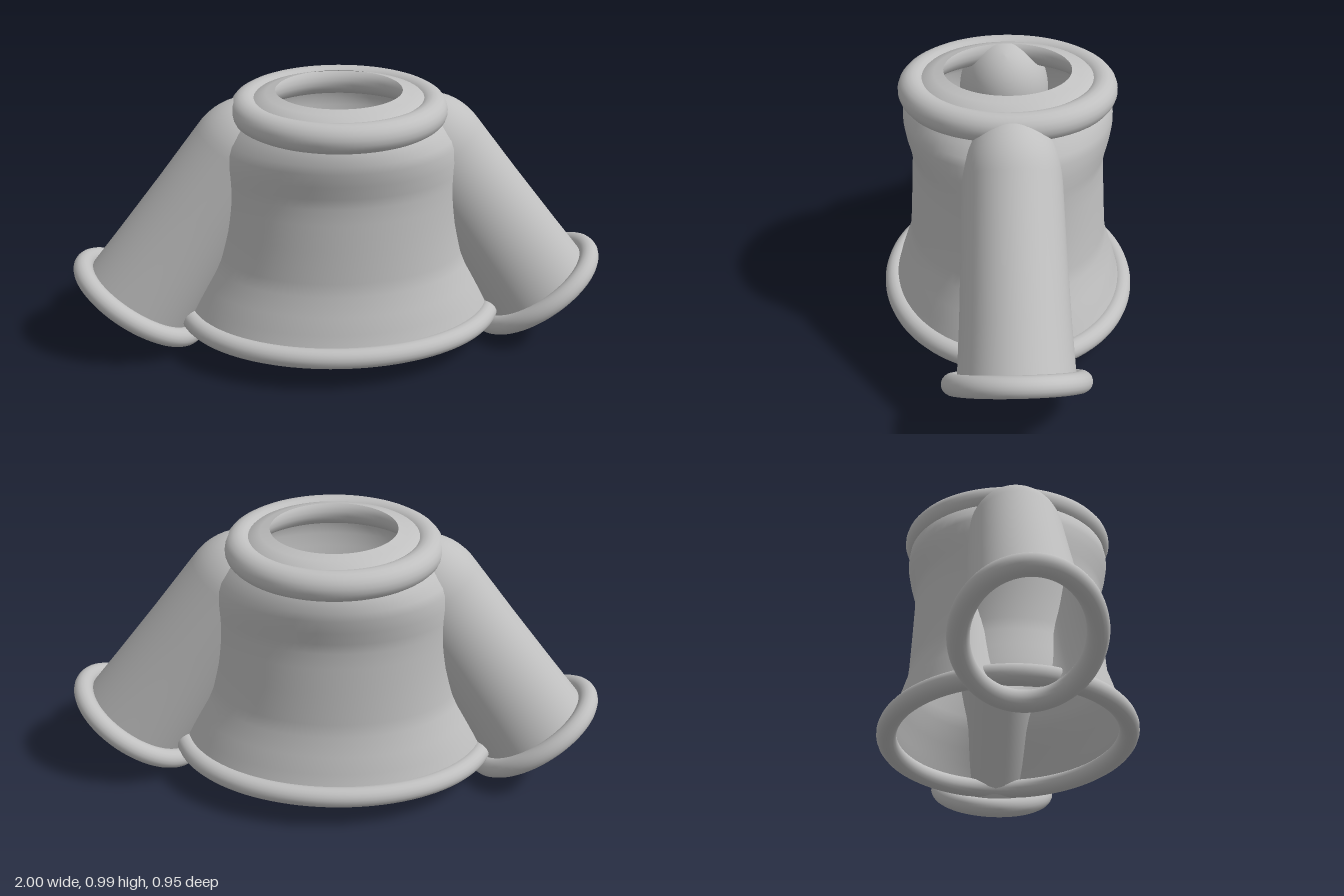
import * as THREE from 'three';

const SEGMENTS = 72;

// Smooth skin through elliptical rings, each given as [height, x radius, z radius]
function loft(rings) {
  const positions = [], index = [];
  for (const [y, rx, rz] of rings) {
    for (let j = 0; j < SEGMENTS; j++) {
      const a = (j / SEGMENTS) * Math.PI * 2;
      positions.push(rx * Math.cos(a), y, rz * Math.sin(a));
    }
  }
  for (let i = 0; i < rings.length - 1; i++) {
    for (let j = 0; j < SEGMENTS; j++) {
      const k = (j + 1) % SEGMENTS;
      const a = i * SEGMENTS + j, b = i * SEGMENTS + k;
      const c = b + SEGMENTS, d = a + SEGMENTS;
      index.push(a, d, b, b, d, c);
    }
  }
  const geometry = new THREE.BufferGeometry();
  geometry.setAttribute('position', new THREE.Float32BufferAttribute(positions, 3));
  geometry.setIndex(index);
  geometry.computeVertexNormals();
  return geometry;
}

// Round roll following a horizontal ellipse
function roll(rx, rz, thickness) {
  const points = [];
  for (let i = 0; i < 32; i++) {
    const a = (i / 32) * Math.PI * 2;
    points.push(new THREE.Vector3(rx * Math.cos(a), 0, rz * Math.sin(a)));
  }
  const path = new THREE.CatmullRomCurve3(points, true);
  return new THREE.TubeGeometry(path, 96, thickness, 18, true);
}

export function createModel() {
  const model = new THREE.Group();
  const cloth = new THREE.MeshStandardMaterial({ color: 0xc0c0c0, side: THREE.DoubleSide });
  cloth.name = 'grey cloth';

  const add = (parent, name, geometry, y = 0) => {
    const mesh = new THREE.Mesh(geometry, cloth);
    mesh.name = name;
    mesh.position.y = y;
    parent.add(mesh);
  };

  // Flared body, closing in over the shoulders to the neck opening
  add(model, 'body', loft([
    [0.122, 0.58, 0.44], [0.16, 0.567, 0.422], [0.20, 0.55, 0.412], [0.26, 0.523, 0.393],
    [0.33, 0.49, 0.37], [0.38, 0.474, 0.365], [0.50, 0.46, 0.358], [0.60, 0.457, 0.353],
    [0.66, 0.457, 0.35], [0.70, 0.456, 0.356], [0.75, 0.452, 0.37], [0.80, 0.442, 0.379],
    [0.83, 0.428, 0.38], [0.87, 0.395, 0.374], [0.92, 0.35, 0.35],
    [0.962, 0.305, 0.305], [0.974, 0.265, 0.265], [0.985, 0.23, 0.23],
  ]));
  add(model, 'hem', roll(0.58, 0.438, 0.037), 0.122);
  add(model, 'collar', roll(0.341, 0.341, 0.054), 0.917);

  // Sleeve profile: gentle taper, then a domed shoulder end
  const sleeveRings = [[0, 0.22, 0.202], [0.2, 0.208, 0.19], [0.45, 0.195, 0.18], [0.7, 0.185, 0.172]];
  for (let i = 1; i <= 12; i++) {
    const a = (i / 12) * Math.PI / 2;
    const r = Math.max(Math.cos(a), 0.001);
    sleeveRings.push([0.7 + 0.22 * Math.sin(a), 0.185 * r, 0.172 * r]);
  }
  const sleeveSkin = loft(sleeveRings);
  const cuff = roll(0.244, 0.218, 0.037);

  for (const [side, name] of [[1, 'left'], [-1, 'right']]) {
    const arm = new THREE.Group();
    arm.name = name + 'Arm';
    arm.position.set(side * 0.763, 0.176, 0);
    arm.rotation.z = side * 0.607;
    add(arm, name + 'Sleeve', sleeveSkin);
    add(arm, name + 'Cuff', cuff);
    model.add(arm);
  }
  return model;
}
